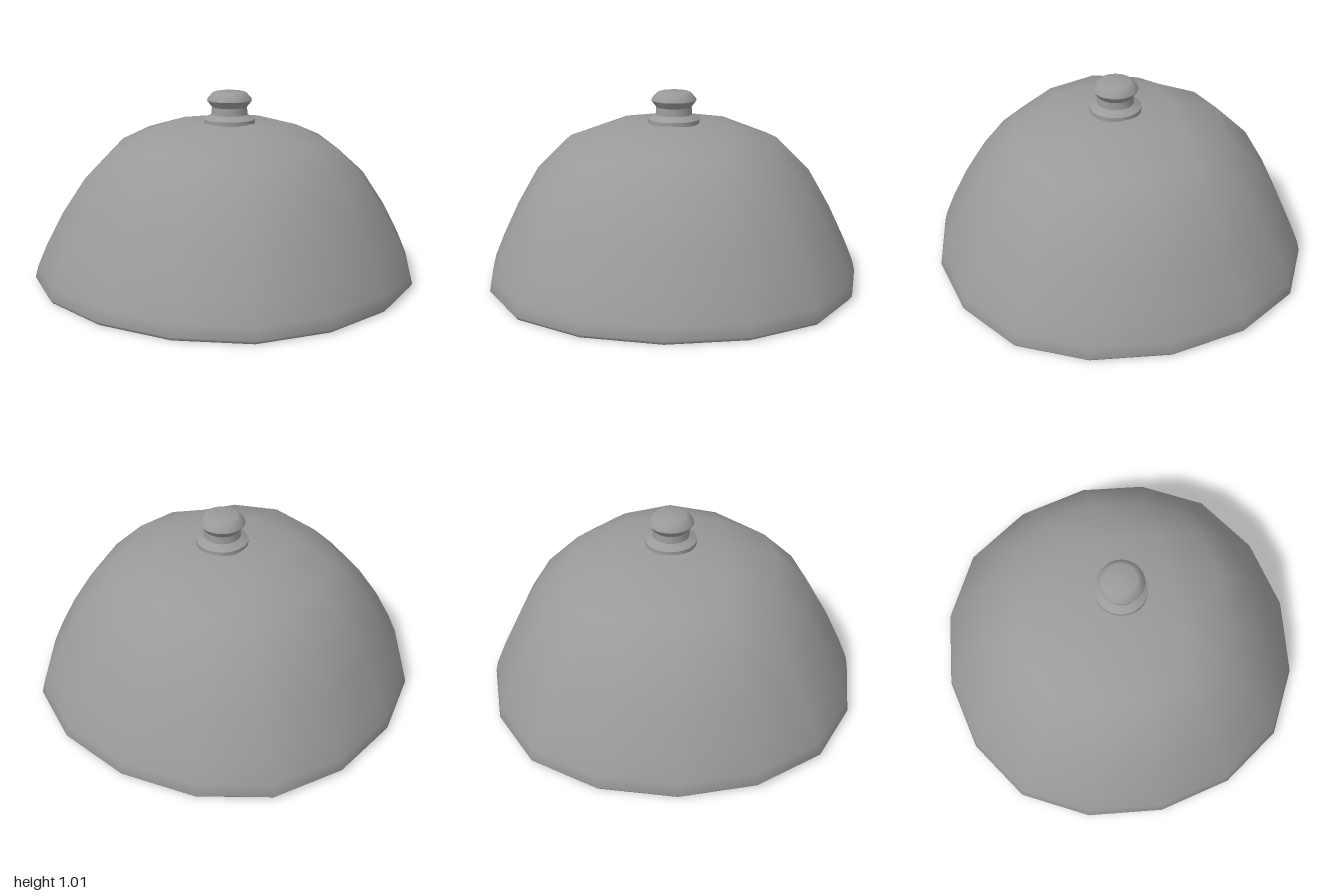
import * as THREE from 'three';
import { mergeVertices, toCreasedNormals } from 'three/addons/utils/BufferGeometryUtils.js';

const grey = () => new THREE.MeshStandardMaterial({ color: 0x9a9a9a });

// Each ring: radius on the axes, height, then the slightly squared outline:
// x and z factors of the second point, factor of the diagonal point, and their drops in height.
const CROWN = [0.93, 0.93, 0.93, 0.02, 0.02];
const SHOULDER = [0.935, 0.47, 0.79, 0.03, 0.08];
const SQUARE = [0.932, 0.4, 0.733];
const RINGS = [
  // Outer skin, crown to rim
  [0.29, 0.843, ...CROWN],
  [0.55, 0.765, ...SHOULDER],
  [0.73, 0.588, ...SQUARE, 0.017, 0.033],
  [0.847, 0.385, ...SQUARE, 0.006, 0.012],
  [0.935, 0.2, ...SQUARE, 0, 0],
  [0.985, 0.08, ...SQUARE, 0, 0],
  [1.0, 0.02, ...SQUARE, 0, 0],
  [0.985, 0.0, ...SQUARE, 0, 0],
  // Inner skin, rim to the low, flat ceiling
  [0.962, 0.0, ...SQUARE, 0, 0],
  [0.955, 0.018, ...SQUARE, 0, 0],
  [0.94, 0.07, ...SQUARE, 0, 0],
  [0.89, 0.165, ...SQUARE, 0, 0],
  [0.81, 0.3, ...SQUARE, 0.004, 0.008],
  [0.7, 0.44, ...SQUARE, 0.012, 0.024],
  [0.53, 0.555, 0.935, 0.47, 0.79, 0.02, 0.055],
  [0.28, 0.595, 0.93, 0.93, 0.93, 0.01, 0.01],
];

// Sixteen points round one ring, made by turning one quarter four times.
function ringPoints([r, y, p, q, s, d1, d2]) {
  const quarter = [[1, 0, 0], [p, q, d1], [s, s, d2], [q, p, d1]];
  const points = [];
  for (let k = 0; k < 4; k++) {
    const c = Math.round(Math.cos(k * Math.PI / 2)), n = Math.round(Math.sin(k * Math.PI / 2));
    for (const [x, z, drop] of quarter) {
      points.push([r * (x * c - z * n), y - drop, r * (x * n + z * c)]);
    }
  }
  return points;
}

function createDome() {
  const positions = [0, 0.85, 0, ...RINGS.flatMap(ringPoints).flat(), 0, 0.6, 0];
  const last = RINGS.length * 16 + 1;
  const index = [];
  for (let i = 0; i < 16; i++) {
    const j = (i + 1) % 16;
    index.push(0, 1 + j, 1 + i);
    for (let k = 0; k < RINGS.length - 1; k++) {
      const a = 1 + k * 16 + i, b = 1 + k * 16 + j;
      index.push(a, b, a + 16, b, b + 16, a + 16);
    }
    index.push(last, last - 16 + i, last - 16 + j);
  }
  let geometry = new THREE.BufferGeometry();
  geometry.setAttribute('position', new THREE.Float32BufferAttribute(positions, 3));
  geometry.setIndex(index);
  geometry = mergeVertices(geometry);
  geometry.computeVertexNormals();
  const dome = new THREE.Mesh(geometry, grey());
  dome.name = 'dome';
  return dome;
}

// Turned handle with a foot, narrow neck and flared head
function createKnob() {
  const profile = [
    [0, 0.83], [0.137, 0.83], [0.137, 0.864], [0.097, 0.888], [0.094, 0.928],
    [0.12, 0.963], [0.117, 0.973], [0.09, 1.003], [0.08, 1.007], [0, 1.007],
  ].map(([x, y]) => new THREE.Vector2(x, y));
  const geometry = toCreasedNormals(new THREE.LatheGeometry(profile, 24), 0.7);
  const knob = new THREE.Mesh(geometry, grey());
  knob.name = 'knob';
  knob.position.set(0.007, 0, 0.017);
  return knob;
}

export function createModel() {
  const group = new THREE.Group();
  group.name = 'domeCover';
  group.add(createDome(), createKnob());
  return group;
}
